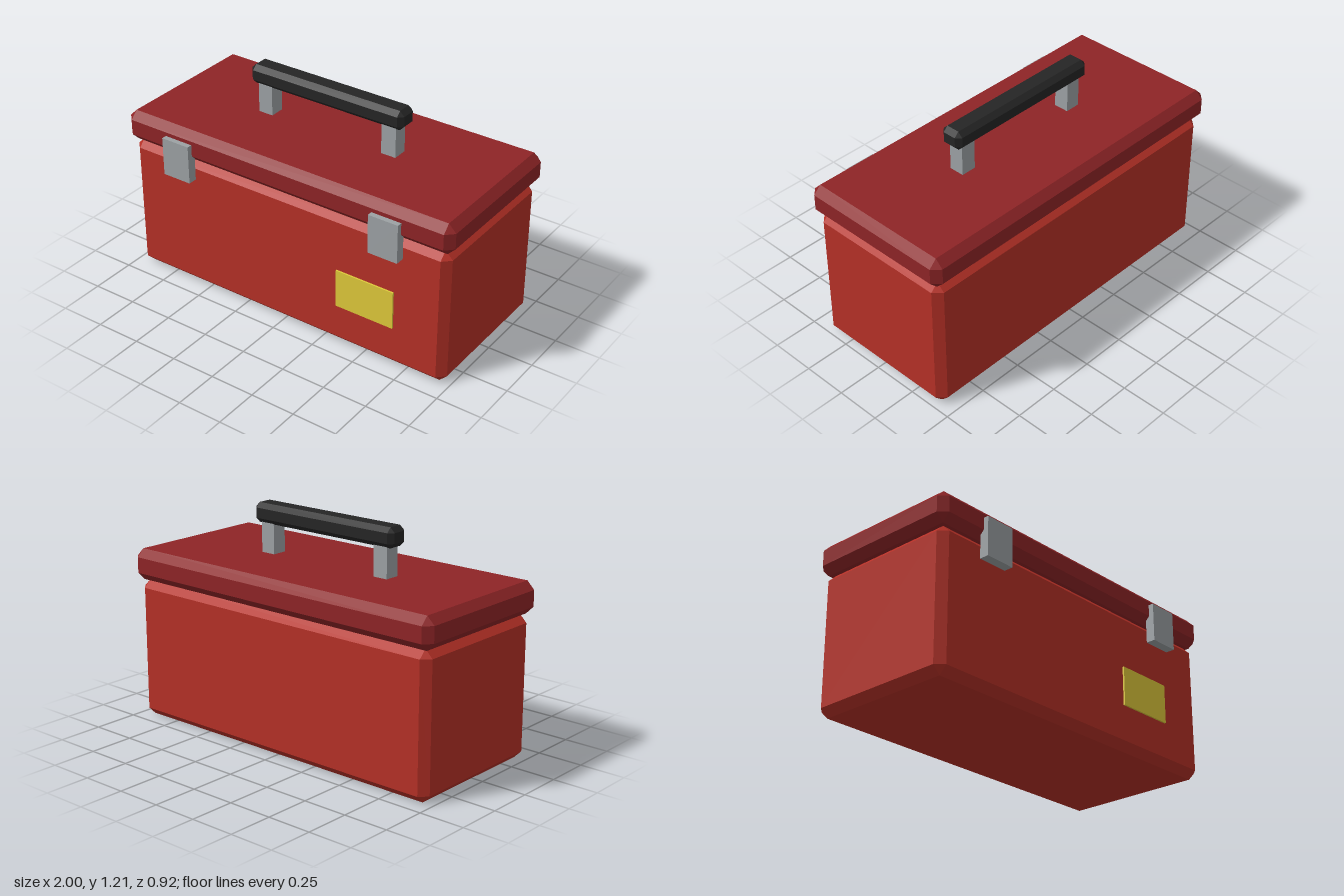
import * as THREE from 'three';
import { ConvexGeometry } from 'three/addons/geometries/ConvexGeometry.js';

const material = (name, color) => {
  const m = new THREE.MeshStandardMaterial({ color });
  m.name = name;
  return m;
};

// Box between two corners, with every edge cut off by c
function chamferBox([x0, y0, z0], [x1, y1, z1], c) {
  const centre = new THREE.Vector3(x0 + x1, y0 + y1, z0 + z1).multiplyScalar(0.5);
  const half = [(x1 - x0) / 2, (y1 - y0) / 2, (z1 - z0) / 2];
  const points = [];
  for (const sx of [-1, 1]) for (const sy of [-1, 1]) for (const sz of [-1, 1]) {
    for (let outer = 0; outer < 3; outer++) {
      const [x, y, z] = half.map((h, axis) => (axis === outer ? h : h - c));
      points.push(new THREE.Vector3(sx * x, sy * y, sz * z));
    }
  }
  return new ConvexGeometry(points).translate(centre.x, centre.y, centre.z);
}

// Plain box between two corners
function box([x0, y0, z0], [x1, y1, z1]) {
  return new THREE.BoxGeometry(x1 - x0, y1 - y0, z1 - z0)
    .translate((x0 + x1) / 2, (y0 + y1) / 2, (z0 + z1) / 2);
}

export function createModel() {
  const group = new THREE.Group();
  group.name = 'toolbox';
  const red = material('body red', 0xb53026);
  const darkRed = material('lid dark red', 0x8e2426);
  const metal = material('metal grey', 0x9ca1a4);
  const black = material('grip black', 0x252525);
  const yellow = material('label yellow', 0xdec83a);

  const add = (name, geometry, mat) => {
    const mesh = new THREE.Mesh(geometry, mat);
    mesh.name = name;
    group.add(mesh);
  };

  // Case and lid
  add('body', chamferBox([-0.976, 0, -0.438], [0.976, 0.768, 0.411], 0.042), red);
  add('lid', chamferBox([-1, 0.768, -0.46], [1, 0.938, 0.433], 0.042), darkRed);

  // Carrying handle
  add('handleGrip', chamferBox([-0.468, 1.098, -0.077], [0.468, 1.205, 0.05], 0.026), black);
  for (const [side, s] of [['left', 1], ['right', -1]]) {
    const x = s * 0.382;
    add(side + 'HandlePost', box([x - 0.0425, 0.93, -0.055], [x + 0.0425, 1.11, 0.029]), metal);
    // Front latches bridging lid and case
    const lx = s * 0.64;
    add(side + 'Latch', box([lx - 0.085, 0.661, 0.411], [lx + 0.085, 0.875, 0.462]), metal);
  }

  // Label plate on the front
  add('label', box([0.34, 0.235, 0.411], [0.68, 0.448, 0.4205]), yellow);

  return group;
}
